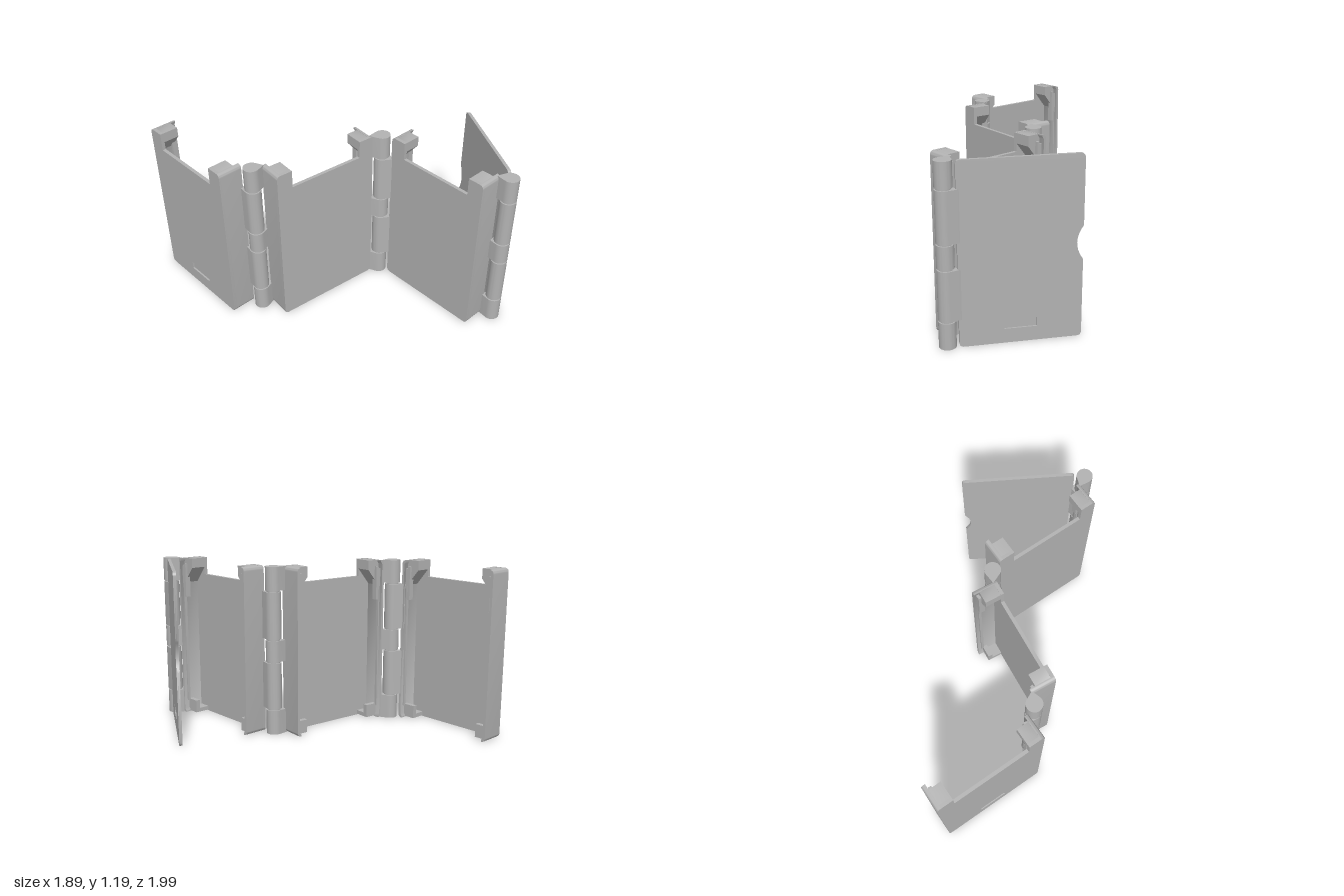
import * as THREE from 'three';
import { toCreasedNormals } from 'three/addons/utils/BufferGeometryUtils.js';

const H = 1.19, L = 0.78, DEPTH = 0.175, WALL = 0.018, SKIN = 0.024, R = 0.03;
const grey = new THREE.MeshStandardMaterial({ color: 0xb2b2b2 });
grey.name = 'grey plastic';

function add(parent, name, geo) {
  const mesh = new THREE.Mesh(geo, grey);
  mesh.name = name;
  parent.add(mesh);
  return mesh;
}

// Extrude a shape between two z levels with sharp corners and smooth curves
function slab(shape, z0, z1) {
  const g = new THREE.ExtrudeGeometry(shape, { depth: z1 - z0, bevelEnabled: false, curveSegments: 10 });
  g.translate(0, 0, z0);
  return toCreasedNormals(g, 0.6);
}

function block(parent, name, x0, x1, y0, y1, z0, z1) {
  const g = new THREE.BoxGeometry(Math.abs(x1 - x0), y1 - y0, Math.abs(z1 - z0));
  g.translate((x0 + x1) / 2, (y0 + y1) / 2, (z0 + z1) / 2);
  add(parent, name, g);
}

function slotHole() {
  const p = new THREE.Path();
  p.moveTo(0.28, 0.095);
  p.lineTo(0.28, 0.155);
  p.lineTo(0.485, 0.155);
  p.lineTo(0.485, 0.095);
  p.closePath();
  return p;
}

// Rounded tray floor with the wide cut-out in its top edge
function trayOutline() {
  const s = new THREE.Shape(), a = 0.115, c = 1.065;
  s.moveTo(R, 0);
  s.lineTo(L - R, 0);
  s.quadraticCurveTo(L, 0, L, R);
  s.lineTo(L, H - R);
  s.quadraticCurveTo(L, H, L - R, H);
  s.lineTo(L - a, H);
  s.lineTo(L - a, c);
  s.lineTo(a, c);
  s.lineTo(a, H);
  s.lineTo(R, H);
  s.quadraticCurveTo(0, H, 0, H - R);
  s.lineTo(0, R);
  s.quadraticCurveTo(0, 0, R, 0);
  return s;
}

// Lid with a curved finger notch at its free edge
function lidOutline() {
  const s = new THREE.Shape(), w = 0.77;
  s.moveTo(R, 0);
  s.lineTo(w - R, 0);
  s.quadraticCurveTo(w, 0, w, R);
  s.lineTo(w, 0.52);
  s.quadraticCurveTo(w - 0.08, 0.63, w, 0.74);
  s.lineTo(w, H - R);
  s.quadraticCurveTo(w, H, w - R, H);
  s.lineTo(R, H);
  s.quadraticCurveTo(0, H, 0, H - R);
  s.lineTo(0, R);
  s.quadraticCurveTo(0, 0, R, 0);
  return s;
}

// Plate in two layers, so that the slot is a shallow recess in the outer face
function plate(parent, name, outline, thickness, slotted) {
  if (!slotted) {
    add(parent, name, slab(outline(), -thickness, 0));
    return;
  }
  const outer = outline();
  outer.holes.push(slotHole());
  add(parent, name + 'Outer', slab(outer, -thickness / 2, 0));
  add(parent, name + 'Inner', slab(outline(), -thickness, -thickness / 2));
}

// Tray: outer face at z = 0, open towards -z
function tray(name, x, z, turn, slotted) {
  const g = new THREE.Group();
  g.name = name;
  g.position.set(x, 0, z);
  g.rotation.y = turn;
  plate(g, 'floor', trayOutline, SKIN, slotted);
  for (const side of [0, 1]) {
    const m = u => (side ? L - u : u);
    // Side wall with rounded outer corners
    const w = new THREE.Shape();
    w.moveTo(m(R), 0);
    w.quadraticCurveTo(m(0), 0, m(0), R);
    w.lineTo(m(0), H - R);
    w.quadraticCurveTo(m(0), H, m(R), H);
    w.lineTo(m(R), H - 0.012);
    w.lineTo(m(WALL), H - R);
    w.lineTo(m(WALL), R);
    w.lineTo(m(R), 0.012);
    w.closePath();
    add(g, 'sideWall', slab(w, -DEPTH, -SKIN + 0.005));
    // Top corner block with sloping underside
    const b = new THREE.Shape();
    b.moveTo(m(0.012), H - 0.012);
    b.lineTo(m(0.03), H - 0.001);
    b.lineTo(m(0.115), H - 0.001);
    b.lineTo(m(0.115), 1.12);
    b.lineTo(m(0.015), 1.0);
    b.closePath();
    add(g, 'topCornerBlock', slab(b, -0.135, -SKIN + 0.002));
    // Hanging latch beside the wall
    block(g, 'latchArm', m(0.035), m(0.055), 0.9, 1.145, -0.155, -0.115);
    block(g, 'latchRoot', m(0.012), m(0.038), 1.0, 1.13, -0.155, -0.13);
    block(g, 'wallRib', m(0.012), m(0.028), 0.09, 1.01, -0.15, -0.13);
    // Bottom corner retainer
    block(g, 'bottomShelf', m(0.015), m(0.11), 0.006, 0.035, -0.135, -SKIN + 0.002);
    block(g, 'bottomRetainer', m(0.012), m(0.11), 0.03, 0.1, -0.135, -0.1);
  }
  return g;
}

// Knuckle section: a barrel drawn out to a point on the part that carries it
function knuckle(cx, cz, px, pz, y0, y1) {
  const r = 0.055, dx = px - cx, dy = -(pz - cz);
  const at = Math.atan2(dy, dx), open = Math.acos(r / Math.hypot(dx, dy));
  const pts = [new THREE.Vector2(px, -pz)];
  for (let i = 0; i <= 28; i++) {
    const t = at + open + (i / 28) * (Math.PI * 2 - 2 * open);
    pts.push(new THREE.Vector2(cx + r * Math.cos(t), -cz + r * Math.sin(t)));
  }
  const g = slab(new THREE.Shape(pts), y0, y1);
  g.rotateX(-Math.PI / 2);
  return g;
}

// Five knuckles, alternately carried by the two neighbours
function hinge(name, cx, cz, odd, even) {
  const g = new THREE.Group();
  g.name = name;
  const cuts = [0, 0.18, 0.52, 0.68, 1.02, H];
  for (let i = 0; i < 5; i++) {
    const p = i % 2 ? even : odd;
    const y0 = cuts[i] + (i ? 0.005 : 0), y1 = cuts[i + 1] - (i < 4 ? 0.005 : 0);
    add(g, 'knuckle', knuckle(cx, cz, p[0], p[1], y0, y1));
  }
  const pin = new THREE.CylinderGeometry(0.045, 0.045, H - 0.04, 24);
  pin.translate(cx, H / 2, cz);
  add(g, 'pin', pin);
  return g;
}

export function createModel() {
  const model = new THREE.Group();
  model.name = 'foldingCase';
  const turn = -(Math.PI / 2 - 0.096);
  model.add(tray('rearTray', -0.945, -0.983, turn, true));
  model.add(tray('middleTray', -0.593, 0.035, 0, false));
  model.add(tray('frontTray', 0.283, 0.122, turn, false));

  const lid = new THREE.Group();
  lid.name = 'lid';
  lid.position.set(0.62, 0, 0.89);
  lid.rotation.y = 1.14;
  plate(lid, 'lidPlate', lidOutline, 0.022, true);
  model.add(lid);

  model.add(hinge('rearHinge', -0.66, -0.16, [-0.582, -0.135], [-0.712, -0.242]));
  model.add(hinge('middleHinge', 0.255, 0.052, [0.17, 0.01], [0.298, 0.135]));
  model.add(hinge('frontHinge', 0.565, 0.94, [0.512, 0.868], [0.628, 0.87]));
  return model;
}
